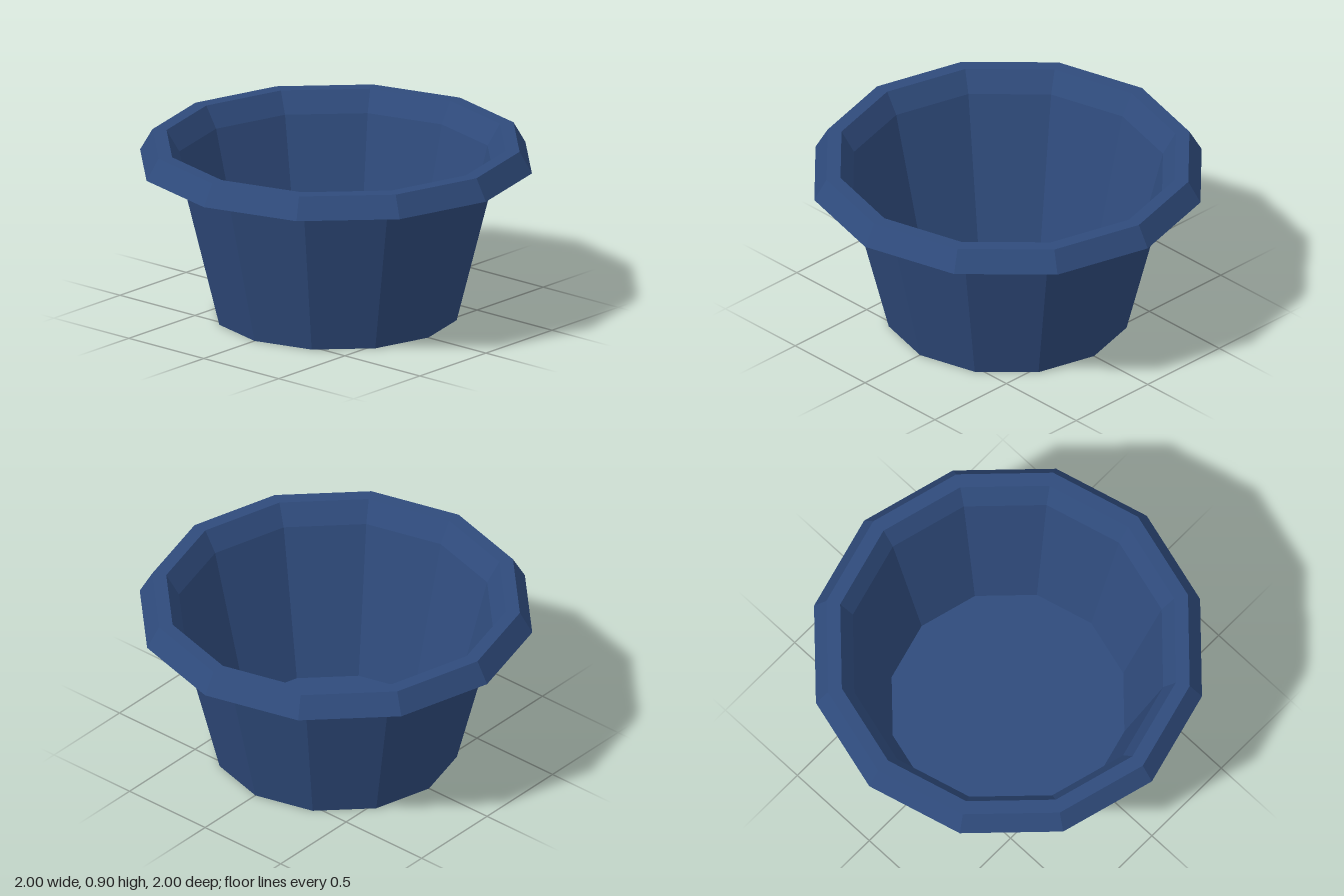
import * as THREE from 'three';

const SIDES = 12;

// Twelve-sided faceted surface turned from a short [radius, height] profile
function turned(name, profile, material) {
  const points = profile.map(([r, y]) => new THREE.Vector2(r, y));
  const geometry = new THREE.LatheGeometry(points, SIDES).toNonIndexed();
  geometry.computeVertexNormals();
  const mesh = new THREE.Mesh(geometry, material);
  mesh.name = name;
  return mesh;
}

export function createModel() {
  const group = new THREE.Group();
  group.name = 'pot';
  const blue = new THREE.MeshStandardMaterial({ color: 0x2f4b7c, flatShading: true });
  blue.name = 'navy blue';

  // Underside and tapered outer wall, flaring where it meets the rim
  group.add(turned('outerWall', [[0, 0], [0.616, 0], [0.815, 0.795], [0.875, 0.889]], blue));

  // Folded-over rim, hollow underneath
  group.add(turned('rim', [
    [0.875, 0.889], [0.927, 0.889], [0.981, 0.795], [1, 0.795],
    [0.937, 0.905], [0.865, 0.905],
  ], blue));

  // Flared mouth, inner wall and floor
  group.add(turned('innerWall', [[0.865, 0.905], [0.8, 0.797], [0.6, 0.016], [0, 0.016]], blue));

  return group;
}
